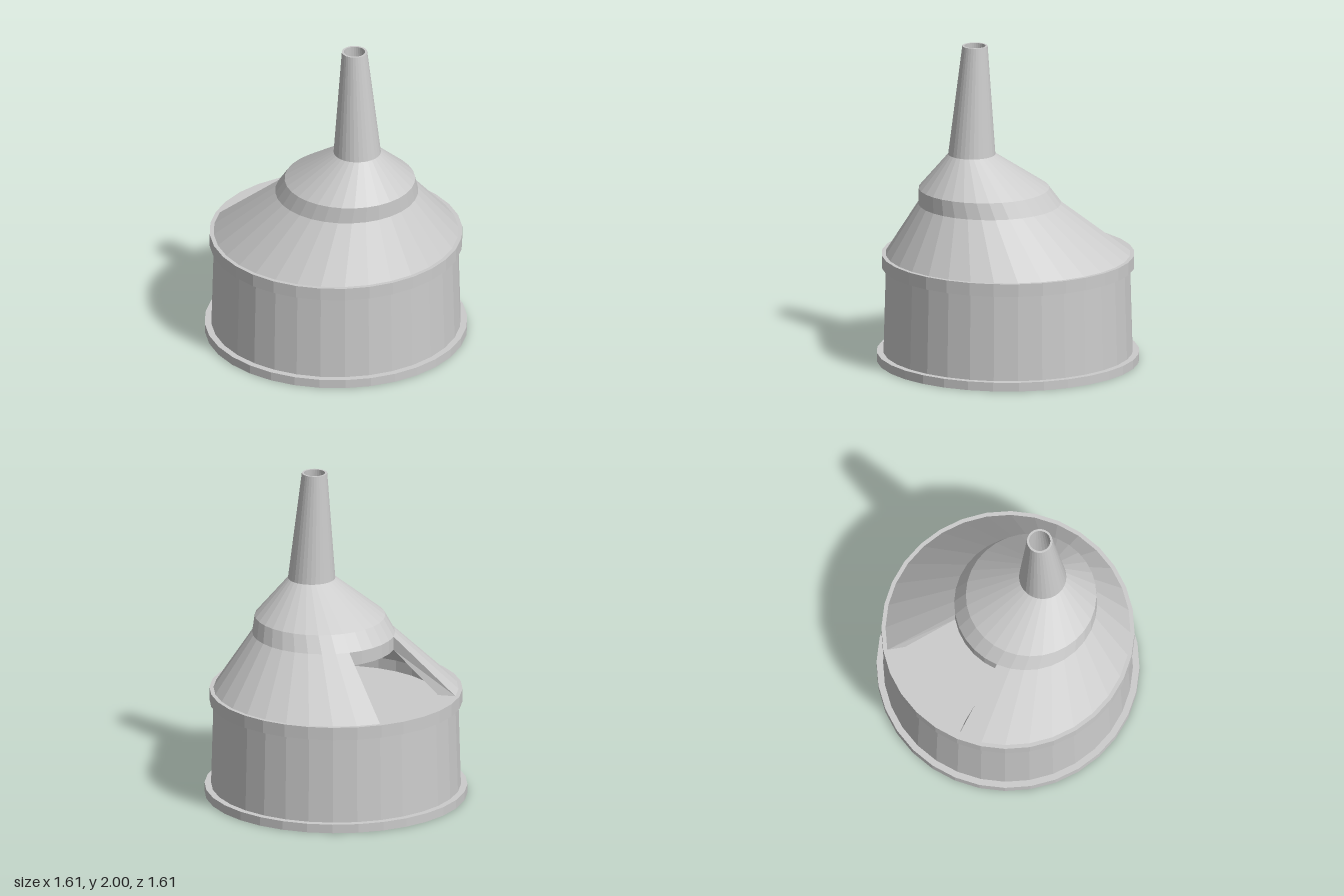
import * as THREE from 'three';

const SIDES = 32;
const CUT_START = 18, CUT_END = 23; // facets removed for the opening in the cone

const material = new THREE.MeshStandardMaterial({ color: 0xcccccc, flatShading: true });
const thinMaterial = new THREE.MeshStandardMaterial({ color: 0xcccccc, flatShading: true, side: THREE.DoubleSide });

// A ring is [y, radius, centre x, centre z]; returns its corner number i
function corner([y, r, cx = 0, cz = 0], i) {
  const a = (i / SIDES) * Math.PI * 2;
  return [cx + r * Math.cos(a), y, cz + r * Math.sin(a)];
}

function meshFrom(name, positions, mat = material) {
  const geometry = new THREE.BufferGeometry();
  geometry.setAttribute('position', new THREE.Float32BufferAttribute(positions, 3));
  geometry.computeVertexNormals();
  const mesh = new THREE.Mesh(geometry, mat);
  mesh.name = name;
  return mesh;
}

// Skin a sequence of rings (up the outside, down the inside) over a span of facets
function loft(name, rings, from = 0, to = SIDES) {
  const positions = [];
  for (let k = 0; k < rings.length - 1; k++) {
    const [low, high] = [rings[k], rings[k + 1]];
    for (let i = from; i < to; i++) {
      const a = corner(low, i), b = corner(high, i);
      const c = corner(high, i + 1), d = corner(low, i + 1);
      if (high[1] > 0) positions.push(...a, ...b, ...c);
      if (low[1] > 0) positions.push(...a, ...c, ...d);
    }
  }
  return meshFrom(name, positions);
}

export function createModel() {
  const group = new THREE.Group();

  // Base plate and slightly tapered drum, closed by a floor inside the rim
  group.add(loft('basePlate', [[0, 0], [0, 0.805], [0.055, 0.805], [0.055, 0.76]]));
  group.add(loft('drum', [[0.055, 0.765], [0.59, 0.75], [0.6, 0.75], [0.6, 0]]));

  // Rim around the top of the drum
  group.add(loft('rim', [[0.59, 0.745], [0.59, 0.775], [0.67, 0.775], [0.67, 0.64], [0.6, 0.64]]));

  // Leaning cone shell, with one wedge left open at the back
  const coneFoot = [0.67, 0.75], coneTop = [1.0, 0.438, 0.058, 0.107];
  const innerFoot = [0.67, 0.64], innerTop = [0.915, 0.438, 0.058, 0.107];
  group.add(loft('coneOutside', [coneFoot, coneTop], CUT_END, CUT_START + SIDES));
  group.add(loft('coneInside', [innerTop, innerFoot], CUT_END, CUT_START + SIDES));

  // Cut faces of the opening: upper edge and two sides
  group.add(loft('openingUpperEdge', [innerTop, coneTop], CUT_START, CUT_END));
  for (const [name, i] of [['openingSideA', CUT_START], ['openingSideB', CUT_END]]) {
    const [a, b, c, d] = [coneFoot, coneTop, innerTop, innerFoot].map((ring) => corner(ring, i));
    group.add(meshFrom(name, [...a, ...b, ...c, ...a, ...c, ...d], thinMaterial));
  }

  // Shoulder and hollow spout: up the outside, over the lip, down the inside
  const shoulder = [1.1, 0.4, 0.075, 0.14];
  const neck = [1.32, 0.145, 0.115, 0.21];
  const lip = [2.0, 0.078, 0.1, 0.192];
  const bore = [2.0, 0.065, 0.1, 0.192];
  const innerNeck = [1.27, 0.125, 0.115, 0.21];
  const innerShoulder = [1.03, 0.37, 0.075, 0.14];
  group.add(loft('shoulder', [coneTop, shoulder, neck]));
  group.add(loft('spout', [neck, lip, bore, innerNeck]));
  group.add(loft('shoulderInside', [innerNeck, innerShoulder, innerTop]));

  return group;
}
